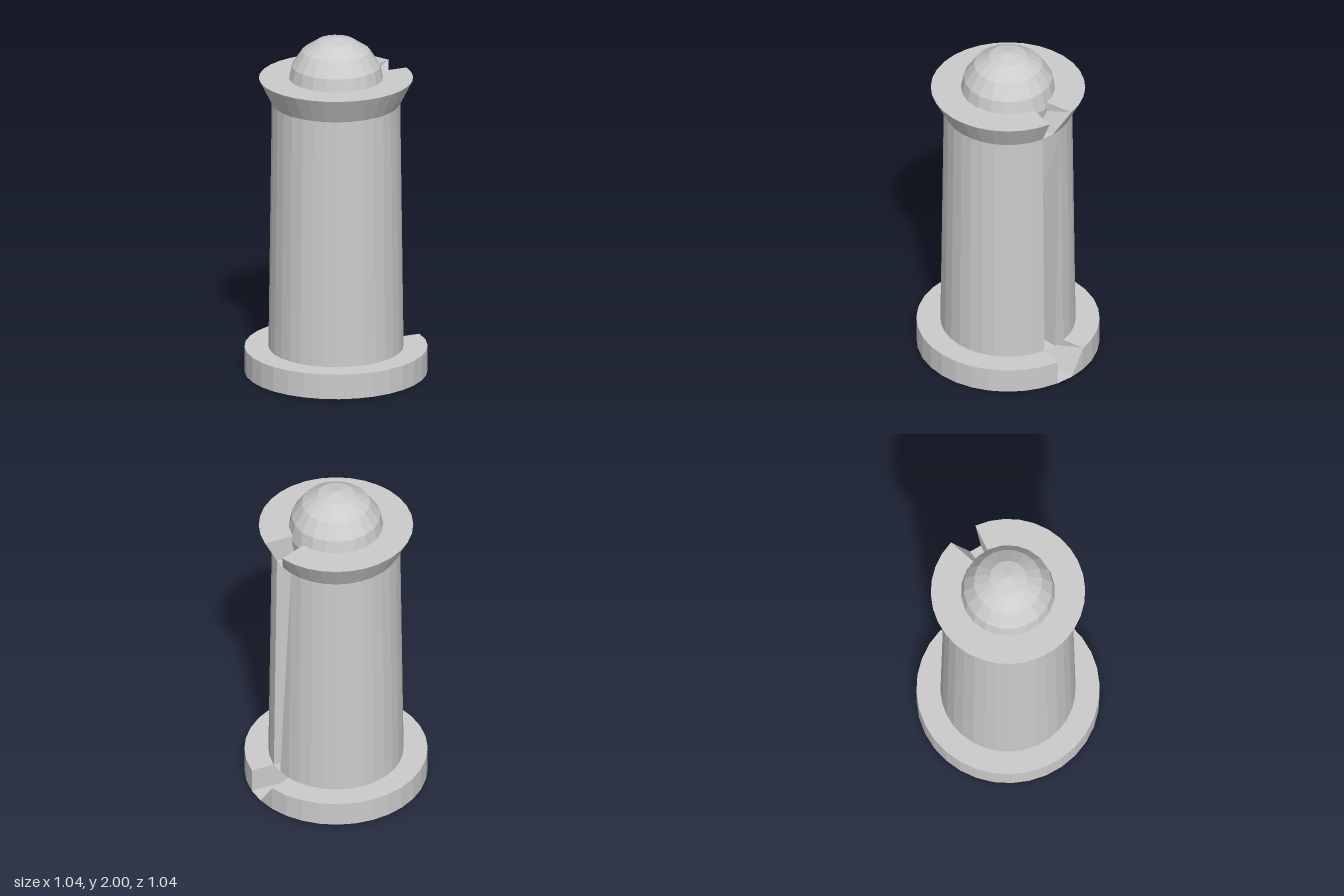
import * as THREE from 'three';

const SIDES = 32;

// Flat-shaded drum whose last upper rim point is pulled down to the centre of
// the floor, which opens a wedge-shaped notch beside the seam at +x.
function notchedDrum(name, y0, y1, r0, r1, material) {
  const rim = (i, r, y) => {
    const a = (i % SIDES) * 2 * Math.PI / SIDES;
    return [r * Math.cos(a), y, r * Math.sin(a)];
  };
  const floor = [0, y0, 0];
  const roof = [0, y1, 0];
  const low = i => rim(i, r0, y0);
  const high = i => (i % SIDES === SIDES - 1 ? floor : rim(i, r1, y1));

  const points = [];
  const face = (...corners) => points.push(...corners.flat());
  for (let i = 0; i < SIDES; i++) {
    const j = i + 1;
    face(low(i), high(i), low(j));
    if (i !== SIDES - 1 || r1 > 0) face(high(i), high(j), low(j));
    face(floor, low(i), low(j));
    face(roof, high(j), high(i));
  }
  const geometry = new THREE.BufferGeometry();
  geometry.setAttribute('position', new THREE.Float32BufferAttribute(points, 3));
  geometry.computeVertexNormals();
  const mesh = new THREE.Mesh(geometry, material);
  mesh.name = name;
  return mesh;
}

export function createModel() {
  const group = new THREE.Group();
  group.name = 'pillar';
  const material = new THREE.MeshStandardMaterial({
    color: 0xcccccc, flatShading: true, side: THREE.DoubleSide,
  });

  // Base slab, tapering shaft and flared crown share the notch
  group.add(notchedDrum('base', 0, 0.147, 0.522, 0.522, material));
  group.add(notchedDrum('shaft', 0.147, 1.61, 0.385, 0.366, material));
  group.add(notchedDrum('crown', 1.61, 1.757, 0.366, 0.44, material));

  // Full ball sunk into the crown, its underside showing in the notch
  const dome = new THREE.Mesh(new THREE.SphereGeometry(0.275, 20, 8), material);
  dome.name = 'dome';
  dome.position.y = 1.725;
  group.add(dome);

  return group;
}
